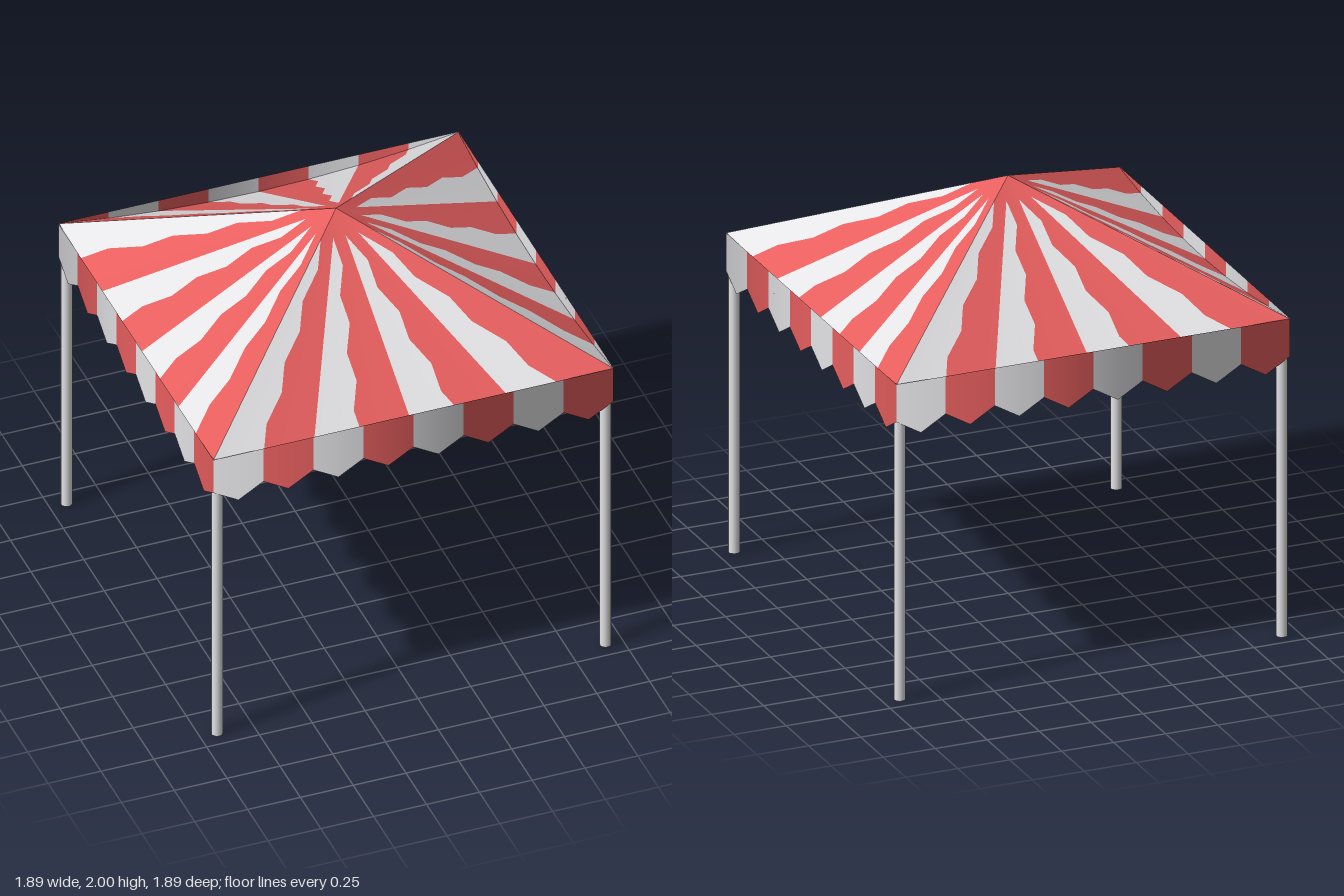
import * as THREE from 'three';

const ROOF = 0.944, EAVE = 1.52, PEAK = 2;     // roof half width, eave corner and peak heights
const SAG = 0.075;                             // cloth dip between the straight hips
const SKIRT = 0.947, NOTCH = 1.34, TIP = 1.27; // valance half width and lower edge
const ROWS = 8, STRIPES = 8;

// Quads (a, b, c, d counter-clockwise from outside) with smooth normals given by a rule
function quadGeometry(quads, normalAt) {
  const pos = [], nor = [];
  const tri = (a, b, c) => {
    if (new THREE.Triangle(a, b, c).getArea() < 1e-7) return;
    for (const p of [a, b, c]) {
      pos.push(p.x, p.y, p.z);
      nor.push(...normalAt(p).normalize().toArray());
    }
  };
  for (const [a, b, c, d] of quads) {
    tri(a, b, c);
    tri(a, c, d);
  }
  const g = new THREE.BufferGeometry();
  g.setAttribute('position', new THREE.Float32BufferAttribute(pos, 3));
  g.setAttribute('normal', new THREE.Float32BufferAttribute(nor, 3));
  return g;
}

// Point on the front roof slope: seams snap to a grid (jagged stripes) and the cloth sags
function seam(row, i) {
  const t = row / ROWS;
  const u = row === 0 ? 0 : (Math.floor(((i - STRIPES / 2) * row) / 2) / 16) * ROOF;
  const w = row === 0 ? 0 : u / (t * ROOF);
  return new THREE.Vector3(u, PEAK - (PEAK - EAVE) * t - SAG * t * (1 - w * w), t * ROOF);
}

// Normal of the sagging slope
function roofNormal(p) {
  const w = p.z > 0 ? p.x / p.z : 0;
  return new THREE.Vector3(-2 * SAG * w, ROOF, PEAK - EAVE + SAG * (1 + w * w));
}

// All stripes of one colour on a roof slope; parity 0 = white, 1 = red
function roofStripes(parity) {
  const quads = [];
  for (let i = parity; i < STRIPES; i += 2) {
    for (let r = 0; r < ROWS; r++) {
      quads.push([seam(r + 1, i), seam(r + 1, i + 1), seam(r, i + 1), seam(r, i)]);
    }
  }
  return quadGeometry(quads, roofNormal);
}

// Pointed valance flaps of one colour, shaded smoothly around the corners
function valanceFlaps(parity) {
  const quads = [], w = (2 * SKIRT) / STRIPES;
  const p = (x, y) => new THREE.Vector3(x, y, SKIRT);
  for (let i = parity; i < STRIPES; i += 2) {
    const x = -SKIRT + i * w, m = x + w / 2;
    quads.push([p(x, NOTCH), p(m, TIP), p(m, EAVE), p(x, EAVE)]);
    quads.push([p(m, TIP), p(x + w, NOTCH), p(x + w, EAVE), p(m, EAVE)]);
  }
  return quadGeometry(quads, (q) => new THREE.Vector3(q.x, 0, q.z));
}

export function createModel() {
  const white = new THREE.MeshStandardMaterial({ color: 0xe6e6e9, side: THREE.DoubleSide });
  const red = new THREE.MeshStandardMaterial({ color: 0xe95f5f, side: THREE.DoubleSide });
  white.name = 'white canvas';
  red.name = 'red canvas';

  const model = new THREE.Group();
  model.name = 'marketCanopy';

  const parts = [];
  [[white, 'white'], [red, 'red']].forEach(([mat, colour], parity) => {
    parts.push([colour + 'RoofStripes', roofStripes(parity), mat]);
    parts.push([colour + 'ValanceFlaps', valanceFlaps(parity), mat]);
  });

  // Hollow corner pole
  const poleHeight = 1.5, inset = 0.919;
  const poleGeometry = new THREE.CylinderGeometry(0.026, 0.026, poleHeight, 16, 1, true);
  poleGeometry.translate(inset, poleHeight / 2, inset);
  parts.push(['pole', poleGeometry, white]);

  // Four identical sides, each with its roof slope, valance and one corner pole
  ['front', 'left', 'back', 'right'].forEach((name, i) => {
    const side = new THREE.Group();
    side.name = name + 'Side';
    side.rotation.y = (i * Math.PI) / 2;
    for (const [partName, geometry, material] of parts) {
      const mesh = new THREE.Mesh(geometry, material);
      mesh.name = partName;
      side.add(mesh);
    }
    model.add(side);
  });
  return model;
}
